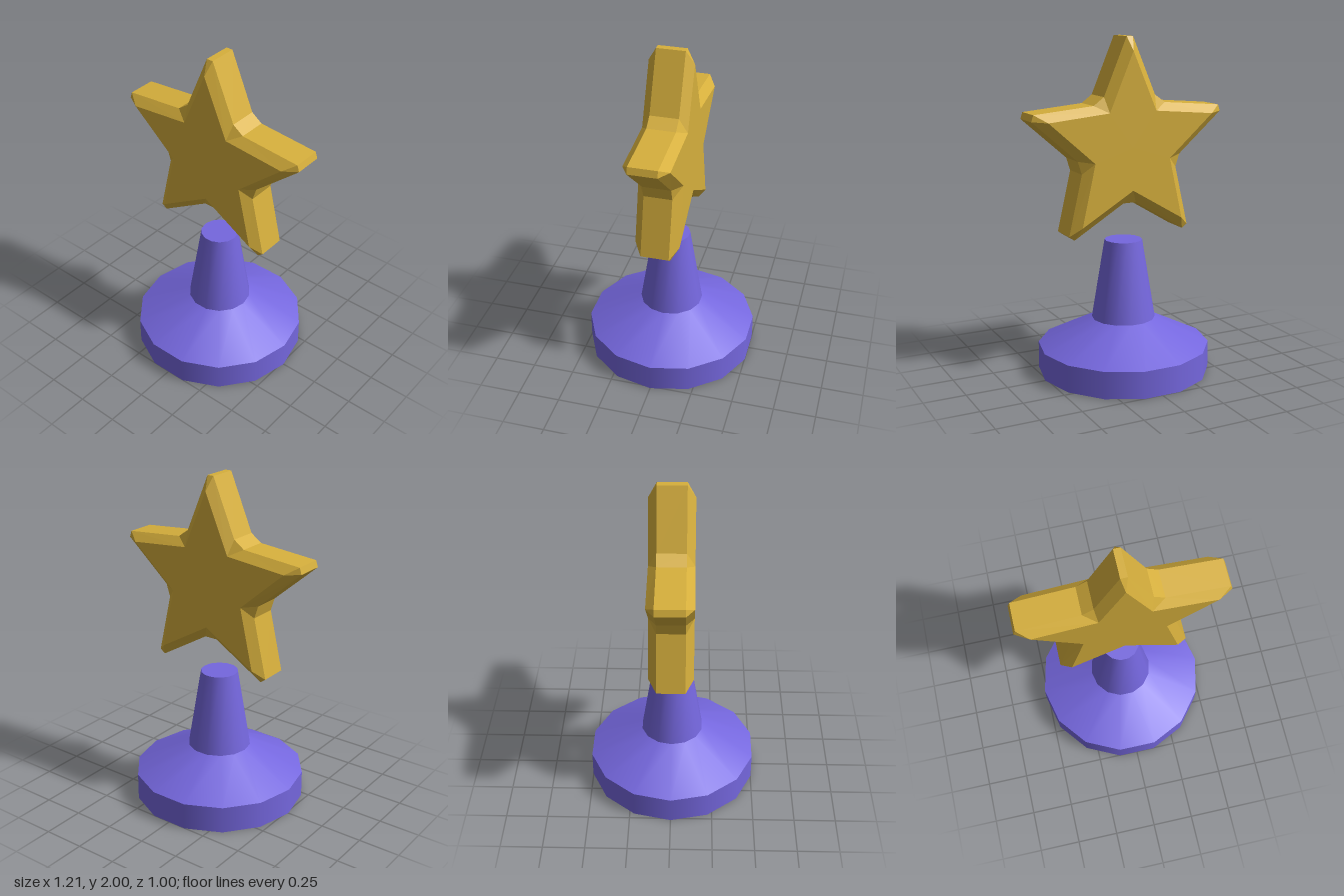
import * as THREE from 'three';

const purple = new THREE.MeshStandardMaterial({ color: 0x7567de });
purple.name = 'purple';
const gold = new THREE.MeshStandardMaterial({ color: 0xd6af3c });
gold.name = 'gold';

const SIDES = 14;

// One tapered section of the pedestal, from y0 up to y1
function section(name, rBottom, rTop, y0, y1, open) {
  const geo = new THREE.CylinderGeometry(rTop, rBottom, y1 - y0, SIDES, 1, open);
  geo.rotateY(Math.PI / 2);
  geo.translate(0, (y0 + y1) / 2, 0);
  const mesh = new THREE.Mesh(geo, purple);
  mesh.name = name;
  return mesh;
}

// Ring of 20 points: each of the ten star corners is cut into a pair
function starRing(tipR, tipCut, valleyR, valleyCut, z) {
  const ring = [];
  for (let k = 0; k < 10; k++) {
    const a = Math.PI / 2 + (k * Math.PI) / 5;
    const [r, cut] = k % 2 ? [valleyR, valleyCut] : [tipR, tipCut];
    for (const s of [-cut, cut]) {
      ring.push(new THREE.Vector3(
        r * Math.cos(a) - s * Math.sin(a),
        r * Math.sin(a) + s * Math.cos(a), z));
    }
  }
  return ring;
}

// Bevelled star lofted from the front centre to the back centre
function starGeometry() {
  const rings = [
    starRing(0, 0, 0, 0, 0.13),
    starRing(0.548, 0, 0.252, 0, 0.13),
    starRing(0.628, 0.02, 0.332, 0.04, 0.083),
    starRing(0.628, 0.02, 0.332, 0.04, -0.083),
    starRing(0.548, 0, 0.252, 0, -0.13),
    starRing(0, 0, 0, 0, -0.13),
  ];
  const points = [];
  const triangle = (a, b, c) => {
    const same = (p, q) => p.distanceTo(q) < 1e-6;
    if (!same(a, b) && !same(b, c) && !same(c, a)) points.push(a, b, c);
  };
  for (let i = 0; i < rings.length - 1; i++) {
    const A = rings[i], B = rings[i + 1];
    for (let j = 0; j < A.length; j++) {
      const n = (j + 1) % A.length;
      triangle(A[j], B[j], B[n]);
      triangle(A[j], B[n], A[n]);
    }
  }
  const geo = new THREE.BufferGeometry().setFromPoints(points);
  geo.computeVertexNormals();
  return geo;
}

export function createModel() {
  const model = new THREE.Group();
  model.name = 'starTrophy';

  // Pedestal
  const pedestal = new THREE.Group();
  pedestal.name = 'pedestal';
  pedestal.add(
    section('base', 0.515, 0.515, 0, 0.163, false),
    section('baseSlope', 0.515, 0.19, 0.163, 0.325, true),
    section('neck', 0.19, 0.112, 0.325, 0.805, false),
  );

  // Floating star
  const star = new THREE.Mesh(starGeometry(), gold);
  star.name = 'star';
  star.position.y = 1.372;

  model.add(pedestal, star);
  return model;
}
